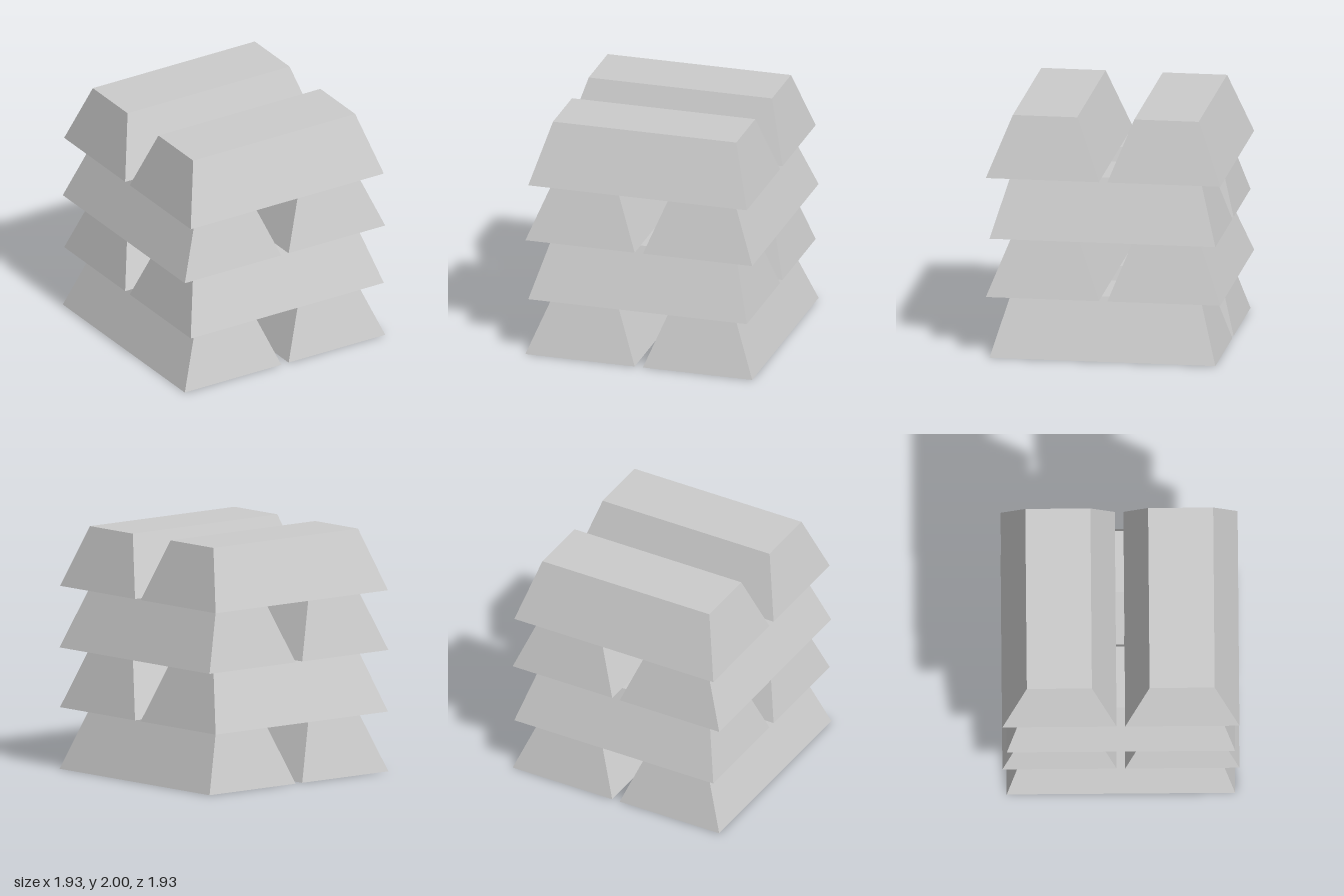
import * as THREE from 'three';

const LAYERS = 4;
const HEIGHT = 0.5;
const OFFSET = 0.5; // bar centre line from the stack's axis
const BOTTOM = { halfLength: 0.93, halfWidth: 0.465 };
const TOP = { halfLength: 0.78, halfWidth: 0.265 };

// Ingot lying along x: a box whose four sides taper towards the top
function ingotGeometry() {
  const geometry = new THREE.BoxGeometry(2, HEIGHT, 2);
  geometry.translate(0, HEIGHT / 2, 0);
  const p = geometry.attributes.position;
  for (let i = 0; i < p.count; i++) {
    const end = p.getY(i) > HEIGHT / 2 ? TOP : BOTTOM;
    p.setX(i, Math.sign(p.getX(i)) * end.halfLength);
    p.setZ(i, Math.sign(p.getZ(i)) * end.halfWidth);
  }
  geometry.computeVertexNormals();
  return geometry;
}

export function createModel() {
  const model = new THREE.Group();
  model.name = 'ingotStack';
  const material = new THREE.MeshStandardMaterial({ color: 0xcccccc, flatShading: true });
  const geometry = ingotGeometry();

  // Pairs of ingots, each layer turned a quarter from the one below
  for (let i = 0; i < LAYERS; i++) {
    const layer = new THREE.Group();
    layer.name = `layer${i + 1}`;
    layer.position.y = i * HEIGHT;
    layer.rotation.y = i % 2 === 0 ? Math.PI / 2 : 0;
    for (const side of [-1, 1]) {
      const ingot = new THREE.Mesh(geometry, material);
      ingot.name = side < 0 ? 'ingotA' : 'ingotB';
      ingot.position.z = side * OFFSET;
      layer.add(ingot);
    }
    model.add(layer);
  }
  return model;
}
